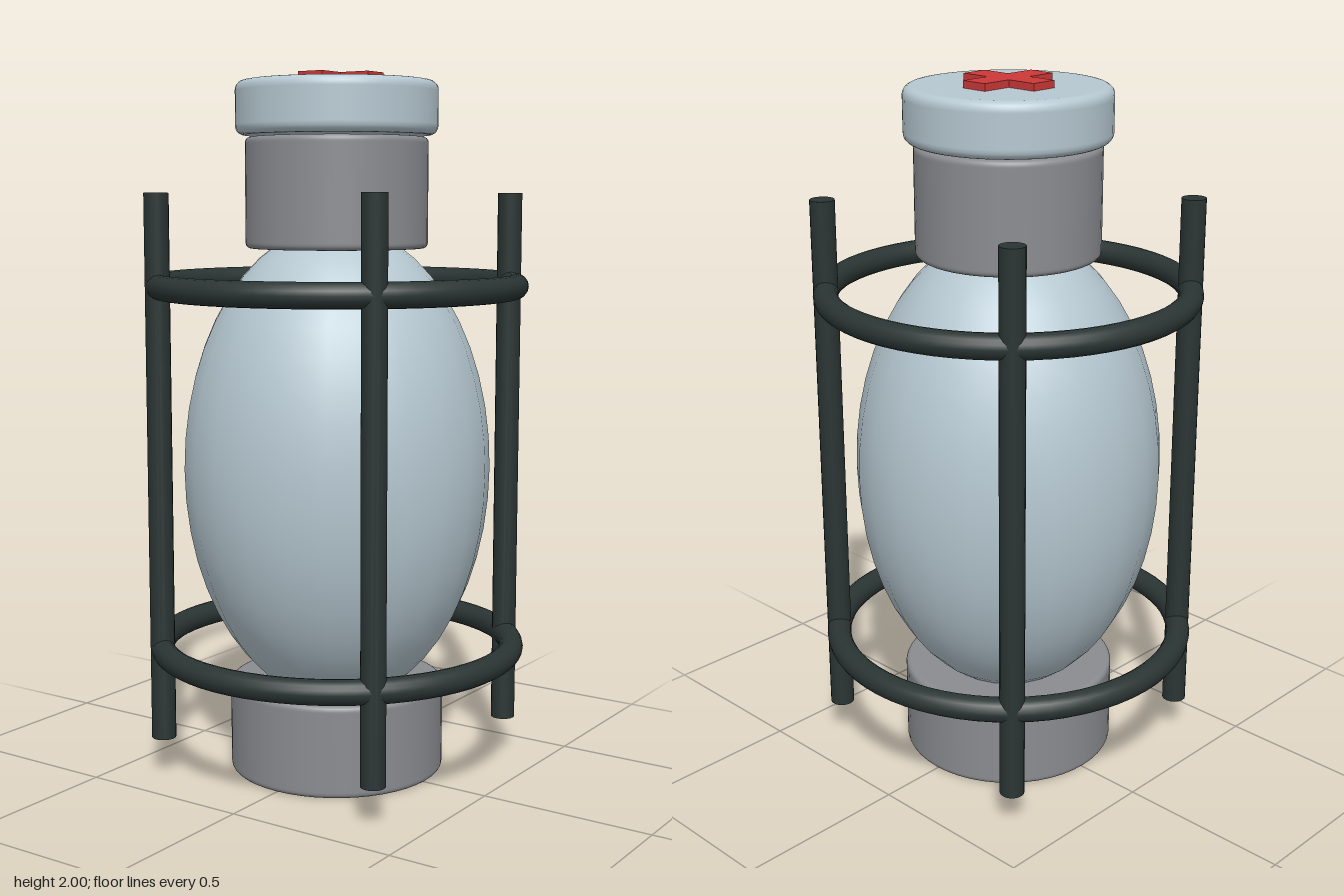
import * as THREE from 'three';

function material(name, color) {
  const m = new THREE.MeshStandardMaterial({ color });
  m.name = name;
  return m;
}

// Upright disc from y0 to y1 with softly rounded rims
function roundedDisc(radius, y0, y1, bevel) {
  const points = [new THREE.Vector2(0, y0), new THREE.Vector2(radius - bevel - 0.004, y0)];
  const steps = 5;
  const arc = (cy, start) => {
    for (let i = 0; i <= steps; i++) {
      const a = start + (i / steps) * Math.PI / 2;
      points.push(new THREE.Vector2(radius - bevel + bevel * Math.cos(a), cy + bevel * Math.sin(a)));
    }
  };
  arc(y0 + bevel, -Math.PI / 2);
  points.push(new THREE.Vector2(radius, y0 + bevel + 0.004));
  points.push(new THREE.Vector2(radius, y1 - bevel - 0.004));
  arc(y1 - bevel, 0);
  points.push(new THREE.Vector2(radius - bevel - 0.004, y1), new THREE.Vector2(0, y1));
  return new THREE.LatheGeometry(points, 48);
}

export function createModel() {
  const group = new THREE.Group();
  const paleBlue = material('paleBlue', 0xb6c8d1);
  const grey = material('grey', 0x8a8c90);
  const darkMetal = material('darkMetal', 0x2a3533);
  const red = material('red', 0xcc3838);

  const add = (name, geometry, mat, x = 0, y = 0, z = 0) => {
    const mesh = new THREE.Mesh(geometry, mat);
    mesh.name = name;
    mesh.position.set(x, y, z);
    group.add(mesh);
    return mesh;
  };

  // Bottle: base, oval body, neck and cap
  add('base', roundedDisc(0.31, 0, 0.265, 0.015), grey);
  const body = new THREE.SphereGeometry(0.44, 24, 24);
  body.scale(1, 0.69 / 0.44, 1);
  add('body', body, paleBlue, 0, 0.89, 0);
  add('neck', roundedDisc(0.258, 1.515, 1.825, 0.015), grey);
  add('cap', roundedDisc(0.285, 1.83, 1.98, 0.025), paleBlue);

  // Raised cross on the cap
  const w = 0.04, r = 0.13;
  const cross = new THREE.Shape([
    [-w, -r], [w, -r], [w, -w], [r, -w], [r, w], [w, w],
    [w, r], [-w, r], [-w, w], [-r, w], [-r, -w], [-w, -w],
  ].map(([x, y]) => new THREE.Vector2(x, y)));
  const crossGeometry = new THREE.ExtrudeGeometry(cross, { depth: 0.03, bevelEnabled: false });
  crossGeometry.rotateX(-Math.PI / 2);
  add('cross', crossGeometry, red, 0, 1.97, 0);

  // Protective cage: two rings and four posts
  for (const [name, y] of [['lowerRing', 0.37], ['upperRing', 1.41]]) {
    const ring = new THREE.TorusGeometry(0.508, 0.035, 16, 64);
    ring.rotateX(Math.PI / 2);
    add(name, ring, darkMetal, 0, y, 0);
  }
  for (const x of [-0.36, 0.36]) {
    for (const z of [-0.36, 0.36]) {
      add('cagePost', new THREE.CylinderGeometry(0.035, 0.035, 1.56, 16), darkMetal, x, 0.89, z);
    }
  }
  return group;
}
